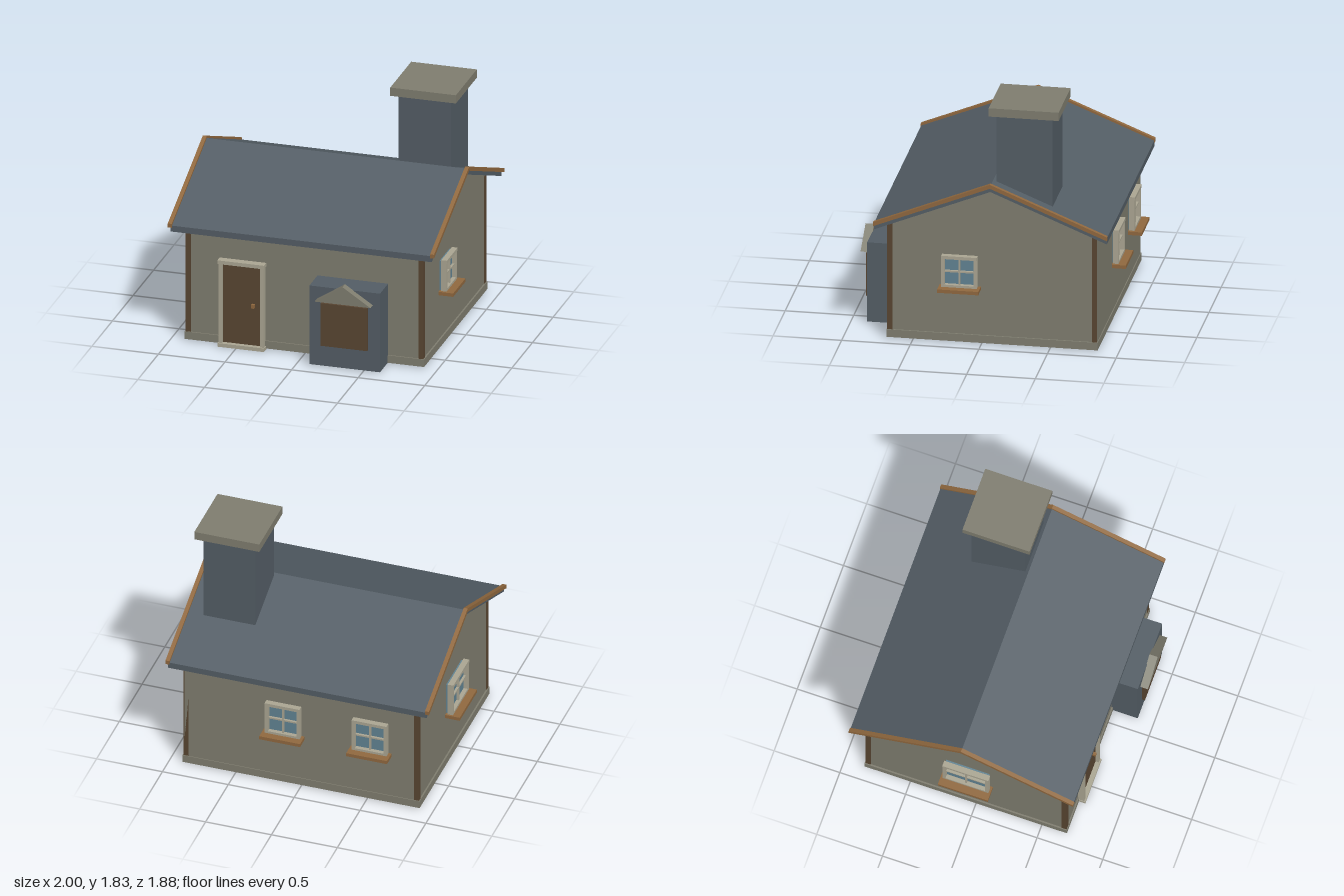
import * as THREE from 'three';

const mat = (name, color) => {
  const m = new THREE.MeshStandardMaterial({ color });
  m.name = name;
  return m;
};

export function createModel() {
  const stone = mat('stone', 0x807e70);
  const slate = mat('slate', 0x545e66);
  const frameMat = mat('paleFrame', 0xaca794);
  const darkWood = mat('darkWood', 0x594632);
  const lightWood = mat('lightWood', 0x91693f);
  const glass = mat('glass', 0x628494);

  const house = new THREE.Group();
  house.name = 'cottage';
  const MID = -0.08; // z of the ridge

  const add = (parent, name, geo, material) => {
    const mesh = new THREE.Mesh(geo, material);
    mesh.name = name;
    parent.add(mesh);
    return mesh;
  };
  // Box given by its limits on each axis
  const box = (parent, name, material, x0, x1, y0, y1, z0, z1) => {
    const mesh = add(parent, name, new THREE.BoxGeometry(x1 - x0, y1 - y0, z1 - z0), material);
    mesh.position.set((x0 + x1) / 2, (y0 + y1) / 2, (z0 + z1) / 2);
    return mesh;
  };
  // Outline extruded, centred on its depth
  const prism = (points, depth) => {
    const shape = new THREE.Shape(points.map(([x, y]) => new THREE.Vector2(x, y)));
    const geo = new THREE.ExtrudeGeometry(shape, { depth, bevelEnabled: false });
    return geo.translate(0, 0, -depth / 2);
  };
  // Outline in (z, y) extruded along x
  const gable = (name, material, points, width, x = 0) => {
    const mesh = add(house, name, prism(points, width).rotateY(-Math.PI / 2), material);
    mesh.position.set(x, 0, MID);
  };
  const chevron = (half, eave, ridge, t) => [
    [-half, eave - t], [0, ridge - t], [half, eave - t], [half, eave], [0, ridge], [-half, eave],
  ];

  // Walls, plinth and corner posts
  gable('walls', stone, [[-0.762, 0.02], [0.762, 0.02], [0.762, 0.9], [0, 1.212], [-0.762, 0.9]], 1.776);
  box(house, 'plinth', stone, -0.9, 0.9, 0.01, 0.068, -0.848, 0.692);
  for (const s of [-1, 1]) {
    for (const z of [-0.823, 0.668]) {
      box(house, 'cornerPost', darkWood, s * 0.874 - 0.019, s * 0.874 + 0.019, 0.068, 0.9, z - 0.019, z + 0.019);
    }
  }

  // Roof and gable trim
  gable('roof', slate, chevron(0.849, 0.91, 1.256, 0.046), 1.962);
  for (const s of [-1, 1]) gable('roofTrim', lightWood, chevron(0.853, 0.925, 1.272, 0.03), 0.03, s * 0.985);

  // Chimney
  box(house, 'chimney', slate, 0.463, 0.857, 0.95, 1.765, -0.513, -0.103);
  box(house, 'chimneyCap', stone, 0.415, 0.908, 1.762, 1.826, -0.565, -0.055);

  // Front door
  box(house, 'door', darkWood, -0.61, -0.315, 0.028, 0.645, 0.67, 0.705);
  box(house, 'doorLintel', frameMat, -0.638, -0.288, 0.642, 0.67, 0.68, 0.74);
  box(house, 'doorSill', frameMat, -0.638, -0.288, 0, 0.028, 0.68, 0.74);
  for (const x of [-0.62, -0.306]) {
    box(house, 'doorJamb', frameMat, x - 0.013, x + 0.013, 0.028, 0.642, 0.68, 0.73);
  }
  box(house, 'doorKnob', lightWood, -0.388, -0.365, 0.322, 0.35, 0.7, 0.73);

  // Front bay with shutter and small pediment
  box(house, 'bay', slate, 0.097, 0.627, 0.01, 0.62, 0.66, 0.88);
  box(house, 'bayShutter', darkWood, 0.187, 0.538, 0.172, 0.502, 0.87, 0.903);
  const pediment = add(house, 'bayPediment', prism([[-0.21, 0], [0.21, 0], [0, 0.137]], 0.062), stone);
  pediment.position.set(0.363, 0.524, 0.907);

  // Window facing local +z, origin at the wall, bottom of the frame at y = 0
  const addWindow = (x, y, z, turn, w, h, sillWidth) => {
    const g = new THREE.Group();
    g.name = 'window';
    g.position.set(x, y, z);
    g.rotation.y = turn;
    house.add(g);
    const a = w / 2, b = 0.024, m = 0.006;
    box(g, 'pane', glass, -a + 0.01, a - 0.01, 0.01, h - 0.01, -0.01, 0.018);
    for (const s of [-1, 1]) {
      const c = s * (a - b / 2);
      box(g, 'windowJamb', frameMat, c - b / 2, c + b / 2, 0, h, 0.01, 0.05);
    }
    box(g, 'windowHead', frameMat, -a, a, h - b, h, 0.01, 0.053);
    box(g, 'windowFoot', frameMat, -a, a, 0, b, 0.01, 0.05);
    box(g, 'mullion', frameMat, -m, m, b, h - b, 0.01, 0.036);
    box(g, 'crossBar', frameMat, -a + b, a - b, h / 2 - m, h / 2 + m, 0.01, 0.036);
    box(g, 'windowSill', lightWood, -sillWidth / 2, sillWidth / 2, -0.02, 0.006, -0.01, 0.106);
  };
  addWindow(0.893, 0.434, 0.155, Math.PI / 2, 0.26, 0.246, 0.3);
  addWindow(-0.893, 0.427, -0.065, -Math.PI / 2, 0.35, 0.264, 0.38);
  for (const x of [-0.53, 0.13]) addWindow(x, 0.427, -0.838, Math.PI, 0.265, 0.264, 0.31);

  return house;
}
